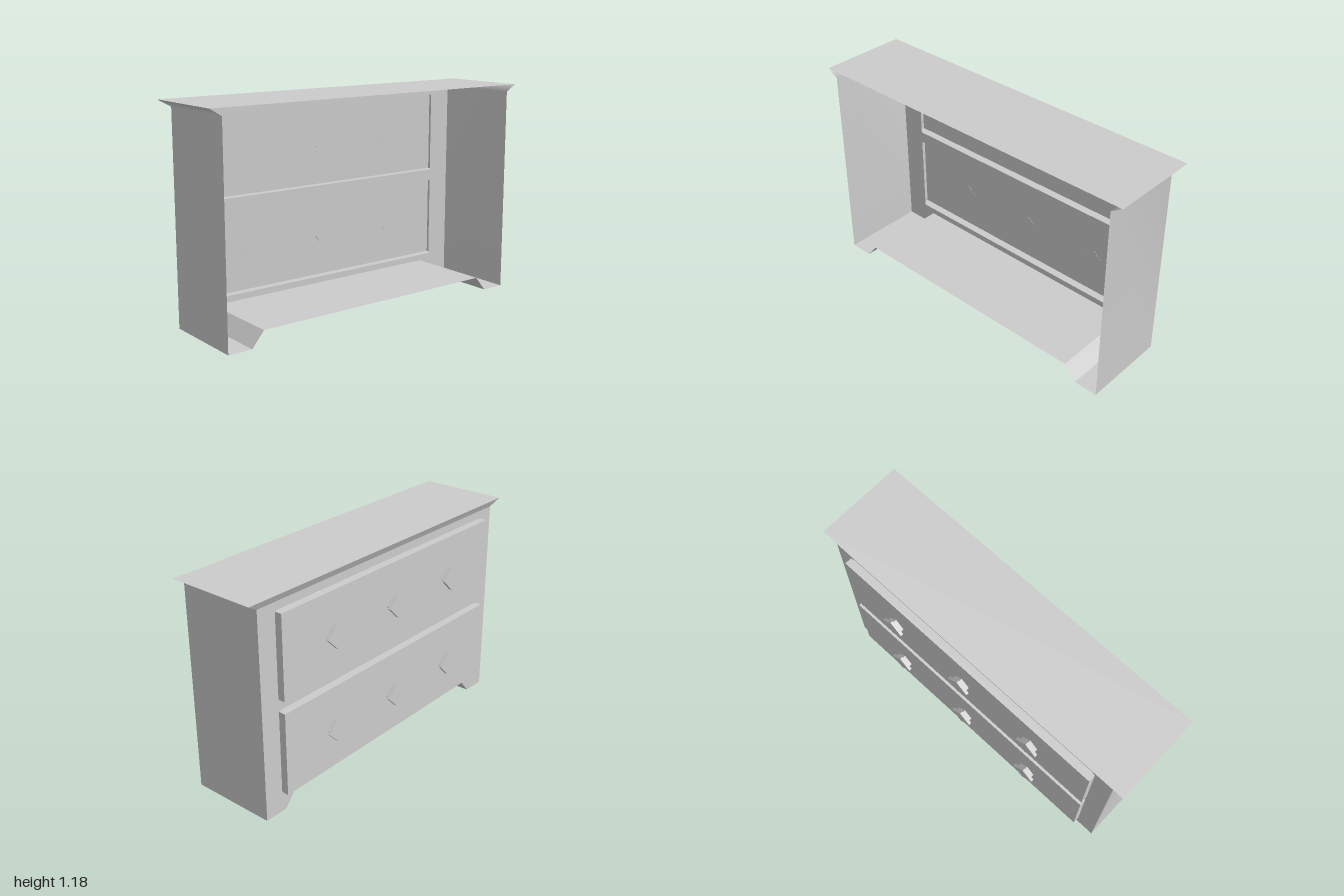
import * as THREE from 'three';

const flat = new THREE.MeshStandardMaterial({ color: 0xcccccc, flatShading: true, side: THREE.DoubleSide });
const smooth = new THREE.MeshStandardMaterial({ color: 0xcccccc, side: THREE.DoubleSide });

// Key measures
const FRONT = -0.203, BACK = 0.282, HALF = 0.935;
const NECK = 1.146, TOP = 1.185, LIP = -0.222;

// Skin over rows of points [x, y, z]
function loft(rows) {
  const n = rows[0].length, index = [];
  for (let i = 0; i < rows.length - 1; i++) {
    for (let j = 0; j < n - 1; j++) {
      const a = i * n + j, d = a + n;
      index.push(a, a + 1, d + 1, a, d + 1, d);
    }
  }
  const g = new THREE.BufferGeometry();
  g.setAttribute('position', new THREE.Float32BufferAttribute(rows.flat(2), 3));
  g.setIndex(index);
  g.computeVertexNormals();
  return g;
}

function add(parent, name, geometry, material = flat) {
  const mesh = new THREE.Mesh(geometry, material);
  mesh.name = name;
  parent.add(mesh);
  return mesh;
}

// Shallow drawer front, open towards the inside
function makeDrawer(y0, y1) {
  const drawer = new THREE.Group();
  drawer.name = 'drawer';
  const half = [[FRONT, 0.8], [-0.208, 0.828], [-0.248, 0.828]];
  const mirrored = half.map(([x, z]) => [x, -z]).reverse();
  add(drawer, 'drawerFront', loft([...half, ...mirrored].map(([x, z]) => [[x, y0, z], [x, y1, z]])));
  const edge = (y, s) => loft([...half].reverse().map(([x, z]) => [[x, y, -z * s], [x, y, z * s]]));
  add(drawer, 'drawerTopEdge', edge(y1, 1));
  add(drawer, 'drawerBottomEdge', edge(y0, -1));

  // Diamond knobs: a stem and a wider plate
  for (const z of [-0.486, -0.013, 0.46]) {
    const knob = new THREE.Group();
    knob.name = 'knob';
    for (const [name, r, x0, x1] of [['knobStem', 0.048, -0.268, -0.247], ['knobPlate', 0.067, -0.285, -0.268]]) {
      const g = new THREE.CylinderGeometry(r, r, x1 - x0, 4);
      g.rotateZ(Math.PI / 2);
      add(knob, name, g).position.x = (x0 + x1) / 2;
    }
    knob.position.set(0, (y0 + y1) / 2 + (y0 < 0.5 ? -0.003 : -0.002), z);
    drawer.add(knob);
  }
  return drawer;
}

export function createModel() {
  const dresser = new THREE.Group();
  dresser.name = 'dresser';
  const drawers = [[0.118, 0.578], [0.645, 1.102]];

  // Underside outline with the two feet, as [z, y]
  const base = [[-HALF, 0], [-0.8, 0], [-0.73, 0.083], [0.73, 0.083], [0.8, 0], [HALF, 0]];

  // Front frame with drawer openings
  const frame = new THREE.Shape([...base, [HALF, NECK], [-HALF, NECK]].map(p => new THREE.Vector2(...p)));
  for (const [y0, y1] of drawers) {
    frame.holes.push(new THREE.Path([[-0.8, y0], [-0.8, y1], [0.8, y1], [0.8, y0]].map(p => new THREE.Vector2(...p))));
  }
  const frameGeometry = new THREE.ShapeGeometry(frame);
  frameGeometry.rotateY(-Math.PI / 2);
  frameGeometry.translate(FRONT, 0, 0);
  add(dresser, 'frontFrame', frameGeometry);

  // Side walls flaring out under the top
  for (const s of [1, -1]) {
    const side = loft([
      [[FRONT, 0, HALF], [BACK, 0, HALF]],
      [[FRONT, NECK, HALF], [BACK, NECK, HALF]],
      [[LIP, TOP, 1], [BACK, TOP, 1]],
    ]);
    add(dresser, 'sideWall', side, smooth).scale.z = s;
  }

  // Front flare, top and underside; the back stays open
  add(dresser, 'frontFlare', loft([[[FRONT, NECK, -HALF], [FRONT, NECK, HALF]], [[LIP, TOP, -1], [LIP, TOP, 1]]]));
  add(dresser, 'top', loft([[[LIP, TOP, -1], [LIP, TOP, 1]], [[BACK, TOP, -1], [BACK, TOP, 1]]]));
  add(dresser, 'base', loft(base.map(([z, y]) => [[FRONT, y, z], [BACK, y, z]])));

  for (const [y0, y1] of drawers) dresser.add(makeDrawer(y0, y1));
  return dresser;
}
